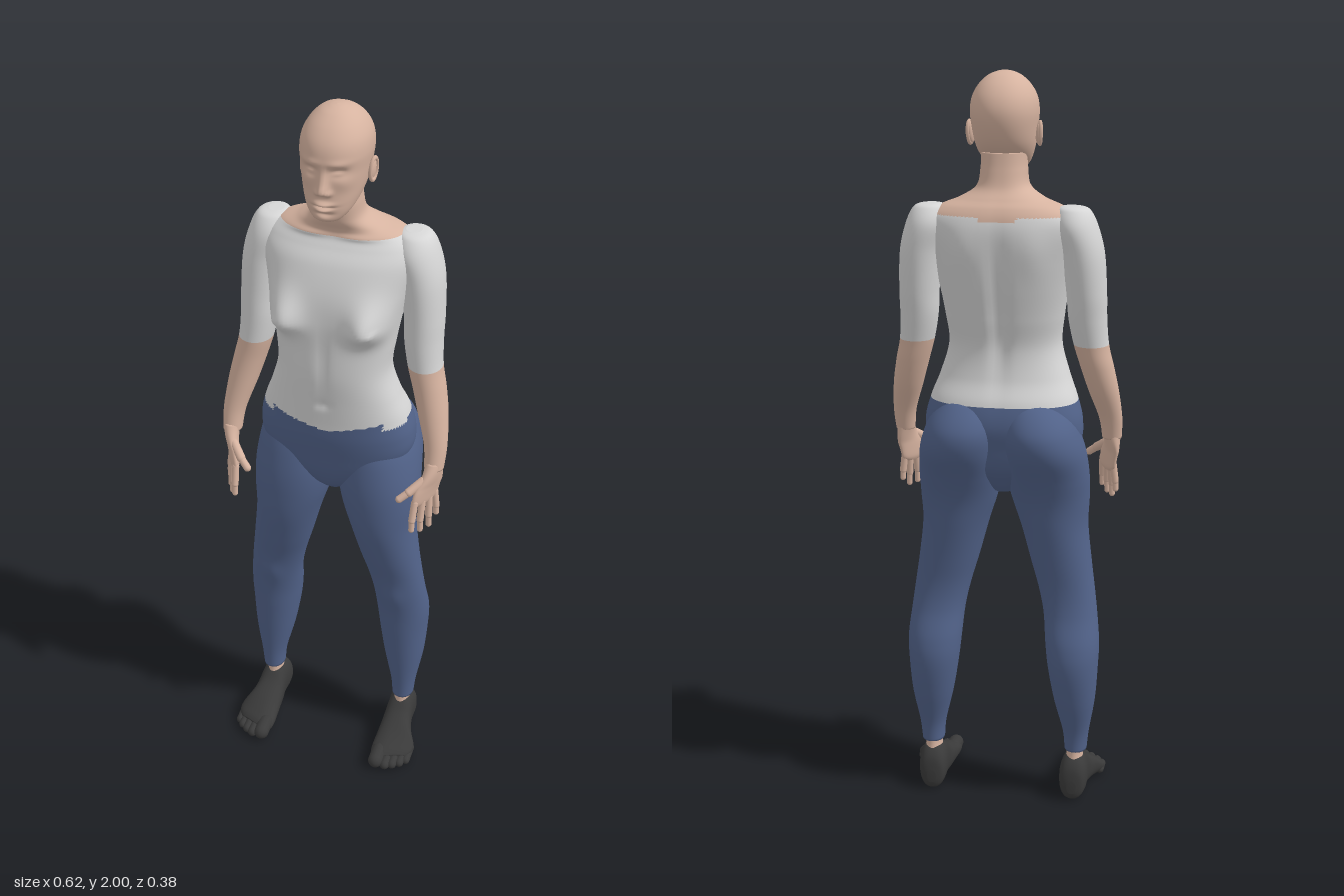
import * as THREE from 'three';

const mat = (name, color) => Object.assign(new THREE.MeshStandardMaterial({ color }), { name });

// Uniform Catmull-Rom through rows of numbers
function sample(rows, t) {
  const f = t * (rows.length - 1), i = Math.min(Math.floor(f), rows.length - 2), u = f - i;
  const at = k => rows[Math.max(0, Math.min(rows.length - 1, k))];
  const [a, b, c, d] = [at(i - 1), at(i), at(i + 1), at(i + 2)];
  return b.map((p, k) => p + 0.5 * u * (c[k] - a[k]
    + u * (2 * a[k] - 5 * p + 4 * c[k] - d[k] + u * (3 * (p - c[k]) + d[k] - a[k]))));
}

// Soft bumps: [x, y, width, heightUp, heightDown, amount], same on both halves
function bumpSum(list, x, y) {
  let sum = 0;
  for (const [bx, by, w, up, down, amt] of list) {
    const dx = (Math.abs(x) - bx) / w, dy = (y - by) / (y > by ? up : down);
    sum += amt * Math.exp(-dx * dx - dy * dy);
  }
  return sum;
}

// Skin over horizontal sections [y, centreX, radiusX, zFront, zBack], lowest first.
// pick(x, y, z) chooses the material index of each face.
function loft(name, sections, materials, opt = {}) {
  const { segs = 40, rows = 60, e = 2, front = [], back = [], bend, pick, turn } = opt;
  const pos = [], tris = materials.map(() => []);
  const power = v => Math.sign(v) * Math.pow(Math.abs(v), 2 / e);
  for (let i = 0; i <= rows; i++) {
    const [y, cx, rx, zf, zb] = sample(sections, i / rows);
    for (let j = 0; j < segs; j++) {
      const a = (j / segs) * Math.PI * 2, s = Math.sin(a);
      const p = new THREE.Vector3(cx + rx * power(Math.cos(a)), y, (zf + zb) / 2 + (zf - zb) / 2 * power(s));
      const w = Math.min(1, Math.abs(s) * 2.2);
      p.z += s > 0 ? w * bumpSum(front, p.x, y) : -w * bumpSum(back, p.x, y);
      if (bend) bend(p);
      pos.push(p.x, p.y, p.z);
    }
  }
  const poles = [sections[0], sections[sections.length - 1]].map(([y, cx, , zf, zb]) => {
    const p = new THREE.Vector3(cx, y, (zf + zb) / 2);
    if (bend) bend(p);
    return pos.push(p.x, p.y, p.z) / 3 - 1;
  });
  const face = (...v) => {
    const mid = k => (pos[v[0] * 3 + k] + pos[v[1] * 3 + k] + pos[v[2] * 3 + k]) / 3;
    tris[pick ? pick(mid(0), mid(1), mid(2)) : 0].push(...v);
  };
  for (let j = 0; j < segs; j++) {
    const n = (j + 1) % segs, top = rows * segs;
    face(poles[0], j, n);
    face(poles[1], top + n, top + j);
    for (let i = 0; i < rows; i++) {
      const a = i * segs + j, b = i * segs + n;
      face(a, a + segs, b);
      face(b, a + segs, b + segs);
    }
  }
  const geo = new THREE.BufferGeometry();
  geo.setAttribute('position', new THREE.Float32BufferAttribute(pos, 3));
  geo.setIndex(tris.flat());
  let start = 0;
  tris.forEach((t, k) => { geo.addGroup(start, t.length, k); start += t.length; });
  if (turn) geo.rotateX(Math.PI / 2);
  geo.computeVertexNormals();
  const mesh = new THREE.Mesh(geo, materials.length > 1 ? materials : materials[0]);
  mesh.name = name;
  return mesh;
}

// Rounded rod between two points, baked into its geometry
function rod(name, a, b, r, material) {
  const A = new THREE.Vector3(...a), B = new THREE.Vector3(...b), d = B.clone().sub(A);
  const geo = new THREE.CapsuleGeometry(r, d.length(), 5, 12);
  geo.applyQuaternion(new THREE.Quaternion().setFromUnitVectors(new THREE.Vector3(0, 1, 0), d.normalize()));
  geo.translate(...A.add(B).multiplyScalar(0.5).toArray());
  return Object.assign(new THREE.Mesh(geo, material), { name });
}

// Copy to the other side, with face order kept outward
function mirrored(mesh) {
  const geo = mesh.geometry.clone().scale(-1, 1, 1), ix = geo.index;
  for (let i = 0; i < ix.count; i += 3) {
    const t = ix.getX(i);
    ix.setX(i, ix.getX(i + 1));
    ix.setX(i + 1, t);
  }
  return Object.assign(new THREE.Mesh(geo, mesh.material), { name: mesh.name.replace('left', 'right') });
}

export function createModel() {
  const group = new THREE.Group();
  group.name = 'woman';
  const skin = mat('skin', 0xd6b3a0), shirt = mat('shirt', 0xd6d6d6);
  const trousers = mat('trousers', 0x52638a), shoe = mat('shoe', 0x3a3a3a);

  // Torso from crotch to neck, split into trousers, shirt and skin
  const hem = (x, z) => z < 0 ? 1.155 : Math.abs(x) < 0.15 ? 1.135 + 0.2 * Math.abs(x) : 1.145;
  group.add(loft('torso', [
    [0.9, 0, 0.03, 0.03, -0.06], [0.93, 0, 0.07, 0.06, -0.09], [0.98, 0, 0.16, 0.08, -0.125],
    [1.04, 0, 0.205, 0.09, -0.14], [1.1, 0, 0.21, 0.098, -0.15], [1.16, 0, 0.195, 0.1, -0.14],
    [1.22, 0, 0.172, 0.103, -0.115], [1.3, 0, 0.15, 0.108, -0.105], [1.38, 0, 0.157, 0.105, -0.122],
    [1.46, 0, 0.17, 0.1, -0.14], [1.53, 0, 0.185, 0.088, -0.15], [1.6, 0, 0.2, 0.062, -0.155],
    [1.64, 0, 0.193, 0.036, -0.15], [1.667, 0, 0.16, 0.02, -0.138], [1.687, 0, 0.11, 0.022, -0.12],
    [1.715, 0, 0.069, 0.034, -0.098], [1.76, 0, 0.06, 0.04, -0.086], [1.8, 0, 0.058, 0.03, -0.08],
  ], [trousers, shirt, skin], {
    segs: 96, rows: 170, e: 2.3,
    front: [[0.112, 1.455, 0.048, 0.065, 0.04, 0.05], [0.128, 1.455, 0.009, 0.009, 0.009, 0.008],
      [0, 1.215, 0.012, 0.015, 0.012, -0.007], [0, 1.35, 0.012, 0.08, 0.1, -0.005],
      [0.07, 1.668, 0.06, 0.008, 0.008, 0.006]],
    back: [[0, 1.4, 0.022, 0.17, 0.16, -0.016], [0.09, 1.56, 0.045, 0.06, 0.07, 0.008]],
    pick: (x, y, z) => y < hem(x, z) ? 0
      : Math.abs(x) < 0.165 && y > (z < -0.07 ? (Math.abs(x) < 0.05 ? 1.637 : 1.648) : 1.667) ? 2 : 1,
  }));

  // Head with sculpted face
  group.add(loft('head', [
    [1.738, 0, 0.02, 0.08, 0.05], [1.746, 0, 0.037, 0.092, 0.025], [1.765, 0, 0.055, 0.096, -0.015],
    [1.79, 0, 0.068, 0.098, -0.065], [1.82, 0, 0.077, 0.096, -0.098], [1.86, 0, 0.083, 0.095, -0.118],
    [1.9, 0, 0.087, 0.096, -0.125], [1.935, 0, 0.082, 0.086, -0.117], [1.965, 0, 0.066, 0.063, -0.096],
    [1.987, 0, 0.043, 0.033, -0.066], [1.997, 0, 0.02, 0.008, -0.036], [2, 0, 0.002, -0.01, -0.014],
  ], [skin], {
    segs: 96, rows: 130, e: 2.15,
    front: [[0, 1.852, 0.009, 0.025, 0.02, 0.012], [0, 1.826, 0.012, 0.018, 0.009, 0.022],
      [0.014, 1.819, 0.007, 0.008, 0.006, 0.009], [0.034, 1.872, 0.018, 0.01, 0.013, -0.012],
      [0.034, 1.868, 0.012, 0.006, 0.006, 0.006], [0.034, 1.893, 0.026, 0.009, 0.008, 0.004],
      [0, 1.791, 0.021, 0.006, 0.005, 0.011], [0, 1.776, 0.018, 0.005, 0.006, 0.009],
      [0, 1.7835, 0.022, 0.003, 0.003, -0.007], [0, 1.765, 0.02, 0.005, 0.005, -0.004],
      [0, 1.752, 0.02, 0.01, 0.01, 0.005], [0.052, 1.845, 0.02, 0.018, 0.02, 0.005]],
  }));

  // Everything that comes in pairs, made on the left side
  const pair = [];

  // Ear: a thin shell with a raised rim
  const shell = new THREE.SphereGeometry(1, 16, 12).scale(0.008, 0.028, 0.015);
  const rim = new THREE.TorusGeometry(0.022, 0.005, 8, 24).scale(0.65, 1.25, 1).rotateY(Math.PI / 2);
  for (const [geo, name, x] of [[shell, 'left ear', 0.086], [rim, 'left ear rim', 0.09]]) {
    geo.rotateX(-0.15).rotateY(-0.3).translate(x, 1.845, -0.015);
    pair.push(Object.assign(new THREE.Mesh(geo, skin), { name }));
  }

  // Arm with sleeve to the elbow
  pair.push(loft('left arm', [
    [1.672, 0.18, 0.02, -0.05, -0.09], [1.662, 0.185, 0.042, -0.02, -0.115], [1.62, 0.192, 0.056, 0.005, -0.137],
    [1.55, 0.21, 0.055, 0.012, -0.135], [1.45, 0.219, 0.052, 0.014, -0.12], [1.38, 0.222, 0.05, 0.016, -0.105],
    [1.31, 0.231, 0.046, 0.018, -0.088], [1.25, 0.246, 0.044, 0.022, -0.075], [1.18, 0.263, 0.04, 0.032, -0.052],
    [1.1, 0.28, 0.031, 0.047, -0.015], [1.04, 0.283, 0.026, 0.062, 0.005],
  ].reverse(), [shirt, skin], { rows: 100, pick: (x, y) => y > 1.31 ? 0 : 1 }));

  // Hand, turned so that the thumb side points forward and inward
  pair.push(loft('left palm', [
    [0.942, 0.275, 0.008, 0.095, 0.04], [0.955, 0.276, 0.014, 0.108, 0.022], [0.985, 0.277, 0.017, 0.103, 0.014],
    [1.02, 0.28, 0.02, 0.083, 0.006], [1.06, 0.283, 0.024, 0.057, 0.003],
  ], [skin], { segs: 28, rows: 24, bend: p => { p.x -= (p.z - 0.05) * 0.45 * Math.min(1, (1.06 - p.y) / 0.06); } }));
  const fingers = [
    ['index', [0.252, 0.96, 0.1], [0.25, 0.91, 0.115], [0.25, 0.882, 0.118]],
    ['middle', [0.267, 0.955, 0.079], [0.266, 0.9, 0.091], [0.267, 0.87, 0.093]],
    ['ring', [0.279, 0.955, 0.056], [0.282, 0.9, 0.064], [0.283, 0.87, 0.065]],
    ['little', [0.288, 0.962, 0.034], [0.294, 0.915, 0.036], [0.295, 0.893, 0.037]],
    ['thumb', [0.265, 1.015, 0.072], [0.235, 0.99, 0.1], [0.213, 0.972, 0.113]],
  ];
  for (const [finger, a, b, c] of fingers) {
    const r = finger === 'thumb' ? 0.012 : 0.0095;
    pair.push(rod(`left ${finger} finger base`, a, b, r, skin), rod(`left ${finger} finger tip`, b, c, r * 0.85, skin));
  }

  // Leg up to the buttock
  pair.push(loft('left leg', [
    [0.142, 0.204, 0.031, 0.012, -0.065], [0.2, 0.204, 0.037, 0.014, -0.071], [0.3, 0.2, 0.057, 0.021, -0.1],
    [0.4, 0.195, 0.069, 0.027, -0.118], [0.47, 0.192, 0.074, 0.031, -0.113], [0.55, 0.184, 0.074, 0.04, -0.088],
    [0.62, 0.172, 0.077, 0.051, -0.08], [0.7, 0.155, 0.083, 0.07, -0.086], [0.8, 0.136, 0.091, 0.09, -0.1],
    [0.88, 0.125, 0.105, 0.095, -0.115], [0.95, 0.118, 0.112, 0.092, -0.143], [1.02, 0.112, 0.11, 0.08, -0.18],
    [1.07, 0.104, 0.104, 0.065, -0.189], [1.11, 0.098, 0.092, 0.05, -0.175], [1.15, 0.09, 0.07, 0.03, -0.139],
    [1.18, 0.08, 0.05, 0, -0.09],
  ], [trousers], { segs: 56, rows: 100, e: 2.1, front: [[0.182, 0.55, 0.03, 0.04, 0.04, 0.006]] }));
  pair.push(loft('left ankle', [
    [0.1, 0.202, 0.027, 0.008, -0.07], [0.13, 0.202, 0.023, 0.005, -0.064], [0.165, 0.203, 0.025, 0.005, -0.062],
  ], [skin], { segs: 28, rows: 8 }));

  // Foot, lofted heel to toe and laid down
  pair.push(loft('left foot', [
    [-0.088, 0.2, 0.012, -0.025, -0.06], [-0.08, 0.2, 0.031, -0.006, -0.1], [-0.055, 0.201, 0.039, 0, -0.128],
    [-0.01, 0.202, 0.039, 0, -0.128], [0.03, 0.204, 0.044, 0, -0.096], [0.08, 0.211, 0.054, 0, -0.07],
    [0.12, 0.214, 0.059, 0, -0.053], [0.145, 0.214, 0.056, -0.003, -0.042], [0.158, 0.212, 0.045, -0.01, -0.032],
  ], [shoe], { segs: 40, rows: 40, e: 2.3, turn: true, bend: p => {
    p.y -= Math.max(0, p.x - 0.19) * 0.45 * THREE.MathUtils.smoothstep(p.y, 0.04, 0.14);
  } }));
  const toes = [[0.18, 0.19, 0.022], [0.208, 0.184, 0.0145], [0.228, 0.174, 0.0135], [0.247, 0.16, 0.0125], [0.262, 0.143, 0.012]];
  toes.forEach(([x, z, r], i) =>
    pair.push(rod(`left toe ${i + 1}`, [x, r + 0.006, z - 0.06], [x, r, z - r], r, shoe)));

  for (const mesh of pair) group.add(mesh, mirrored(mesh));
  return group;
}
